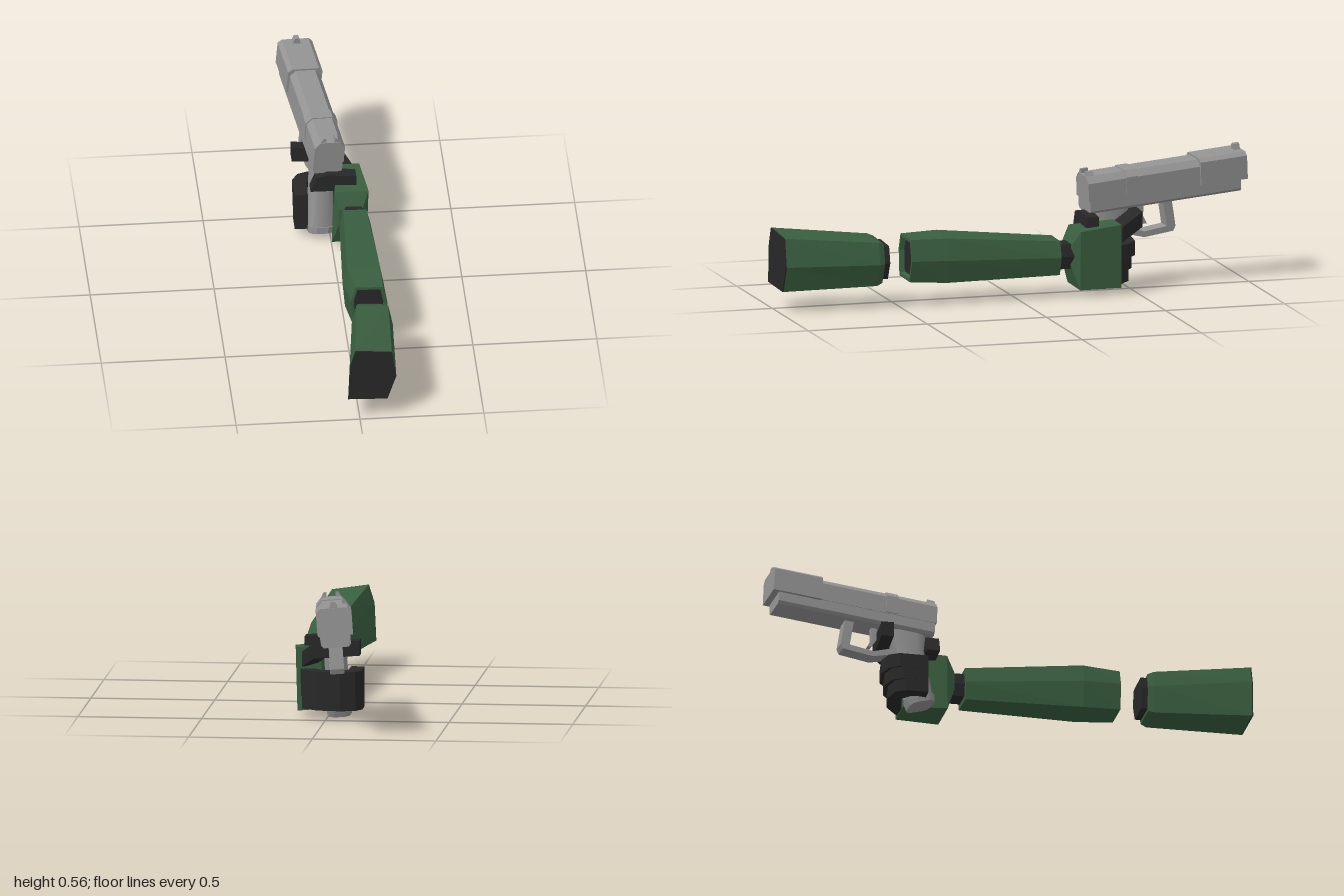
import * as THREE from 'three';
import { toCreasedNormals } from 'three/addons/utils/BufferGeometryUtils.js';

const material = (name, color) => {
  const m = new THREE.MeshStandardMaterial({ color });
  m.name = name;
  return m;
};

// Faceted solid through equal-length loops of [x, y, z]; outward winding is enforced
function loft(loops) {
  const tris = [];
  const n = loops[0].length;
  for (let i = 0; i < loops.length - 1; i++) {
    for (let j = 0; j < n; j++) {
      const k = (j + 1) % n;
      const [a, b, c, d] = [loops[i][j], loops[i][k], loops[i + 1][k], loops[i + 1][j]];
      tris.push([a, b, c], [a, c, d]);
    }
  }
  const first = loops[0], last = loops[loops.length - 1];
  for (let j = 1; j < n - 1; j++) {
    tris.push([first[0], first[j + 1], first[j]], [last[0], last[j], last[j + 1]]);
  }
  let volume = 0;
  const [a, b, c] = [0, 0, 0].map(() => new THREE.Vector3());
  for (const t of tris) volume += a.set(...t[0]).dot(b.set(...t[1]).cross(c.set(...t[2])));
  if (volume < 0) tris.forEach((t) => t.reverse());
  const g = new THREE.BufferGeometry();
  g.setAttribute('position', new THREE.Float32BufferAttribute(tris.flat(2), 3));
  g.computeVertexNormals();
  return g;
}

// Prism running forward (-z) from u0 to u1
const prism = (profile, u0, u1) =>
  loft([profile.map(([x, y]) => [x, y, -u0]), profile.map(([x, y]) => [x, y, -u1])]);

// Extruded outline
const slab = (points, depth) =>
  new THREE.ExtrudeGeometry(new THREE.Shape(points.map((p) => new THREE.Vector2(...p))), {
    depth, bevelEnabled: false,
  });

// Arm cross-section, ends slightly skewed
const ring = (z, pts) => pts.map(([x, y]) => [x, y, z - 0.08 * (x - 0.07)]);

// Scaled copy of a ring about its centre, moved along z
function inset(loop, s, dz) {
  const mid = [0, 1, 2].map((i) => loop.reduce((t, p) => t + p[i], 0) / loop.length);
  return loop.map((p) => p.map((v, i) => mid[i] + (v - mid[i]) * s + (i === 2 ? dz : 0)));
}

// Symmetric profile with chamfered top
const slideProfile = (w, y0, y1, cx, cy) => [
  [-w, y0], [w, y0], [w, y1 - cy], [w - cx, y1], [-w + cx, y1], [-w, y1 - cy],
];

export function createModel() {
  const model = new THREE.Group();
  model.name = 'armWithPistol';
  const green = material('green sleeve', 0x3a5f40);
  const dark = material('dark joint', 0x282828);
  const grey = material('grey metal', 0x949494);

  const add = (name, geometry, mat, parent = model) => {
    const mesh = new THREE.Mesh(geometry, mat);
    mesh.name = name;
    parent.add(mesh);
    return mesh;
  };

  // Upper arm with dark shoulder cap and elbow joint
  const shoulder = ring(0.99, [[-0.018, 0.338], [0.13, 0.318], [0.148, 0.202], [0.112, 0.097], [-0.048, 0.111], [-0.041, 0.264]]);
  const elbow = ring(0.605, [[0.02, 0.3], [0.15, 0.284], [0.168, 0.195], [0.132, 0.104], [0.008, 0.114], [0.002, 0.23]]);
  add('upperArm', loft([shoulder, elbow, inset(elbow, 0.9, -0.024)]), green);
  add('shoulderCap', loft([inset(shoulder, 1, 0.004), shoulder]), dark);
  add('elbowJoint', loft([inset(elbow, 0.76, -0.02), inset(elbow, 0.76, -0.05)]), dark);

  // Forearm with recessed dark socket
  const socket = ring(0.468, [[0.03, 0.294], [0.142, 0.286], [0.16, 0.2], [0.132, 0.112], [0.018, 0.12], [0.01, 0.23]]);
  const bulge = ring(0.31, [[0.008, 0.296], [0.142, 0.284], [0.158, 0.195], [0.13, 0.1], [0.0, 0.108], [-0.01, 0.22]]);
  const cuff = ring(-0.165, [[0.035, 0.252], [0.13, 0.244], [0.146, 0.178], [0.125, 0.105], [0.03, 0.112], [0.02, 0.185]]);
  add('forearm', loft([inset(socket, 0.8, -0.02), inset(socket, 0.86, 0), socket, bulge, cuff]), green);
  add('forearmSocket', loft([inset(socket, 0.8, -0.018), inset(socket, 0.8, -0.022)]), dark);
  add('wrist', loft([inset(cuff, 0.72, 0.01), inset(cuff, 0.72, -0.07)]), dark);

  // Hand
  add('palm', loft([
    ring(-0.212, [[0.022, 0.222], [0.118, 0.214], [0.118, 0.14], [0.022, 0.148]]),
    ring(-0.246, [[0.008, 0.287], [0.146, 0.28], [0.138, 0.04], [-0.003, 0.05]]),
    ring(-0.425, [[0.028, 0.302], [0.124, 0.296], [0.12, 0.038], [0.015, 0.047]]),
  ]), green);

  // Thumb across the back of the grip
  const thumb = [[-0.085, 0.264], [-0.06, 0.328], [-0.018, 0.339], [0.1, 0.328], [0.1, 0.262]];
  add('thumb', prism(thumb, 0.288, 0.342), dark);

  // Three fingers curled round the grip
  const curl = [
    [0.115, 0.41], [0.095, 0.465], [0.035, 0.512], [-0.06, 0.525], [-0.12, 0.505], [-0.143, 0.465],
    [-0.143, 0.348], [-0.09, 0.348], [-0.088, 0.44], [-0.06, 0.468], [0.02, 0.458], [0.06, 0.41],
  ];
  [0.048, 0.1, 0.152].forEach((y, i) => {
    const shift = (2 - i) * 0.014;
    const geometry = slab(curl.map(([x, u]) => [x, u > 0.42 ? u - shift : u]), i === 2 ? 0.058 : 0.0515);
    geometry.rotateX(-Math.PI / 2).translate(0, y, 0);
    add('finger' + (i + 1), geometry, dark);
  });

  // Index finger along the side, then across the trigger
  const joint = (x, z, y, w) => [[x, y - 0.031, z], [x, y + 0.031, z], [x + w, y + 0.031, z - 0.05], [x + w, y - 0.031, z - 0.05]];
  add('indexFinger', loft([
    joint(0.05, -0.39, 0.25, 0.05), joint(0.0, -0.49, 0.298, 0.045),
    joint(-0.05, -0.49, 0.305, 0), joint(-0.143, -0.49, 0.313, 0),
  ]), dark);

  // Pistol, built facing -z and then aimed
  const pistol = new THREE.Group();
  pistol.name = 'pistol';
  pistol.position.set(-0.014, 0.34, -0.31);
  pistol.rotation.set(0.07, 0.12, -0.07, 'YXZ');
  model.add(pistol);

  add('slide', prism(slideProfile(0.062, 0.046, 0.147, 0.022, 0.026), 0, 0.5), grey, pistol);
  add('slideBand', prism(slideProfile(0.066, 0.05, 0.151, 0.023, 0.026), 0.165, 0.215), grey, pistol);
  add('muzzleBlock', prism(slideProfile(0.071, 0.043, 0.154, 0.016, 0.014), 0.49, 0.694), grey, pistol);
  add('frame', prism([[-0.05, -0.007], [0.05, -0.007], [0.06, 0.004], [0.06, 0.048], [-0.06, 0.048], [-0.06, 0.004]], 0.006, 0.668), grey, pistol);
  add('frontSight', prism([[-0.018, 0.15], [0.018, 0.15], [0.009, 0.178], [-0.009, 0.178]], 0.662, 0.688), grey, pistol);
  for (const s of [-1, 1]) {
    add('rearSight', prism([[s * 0.042, 0.143], [s * 0.018, 0.143], [s * 0.018, 0.165], [s * 0.03, 0.165]], 0.004, 0.035), grey, pistol);
  }

  // Trigger guard and trigger
  const guard = [
    [0.375, 0], [0.388, -0.118], [0.378, -0.138], [0.25, -0.146], [0.14, -0.11], [0.14, -0.08],
    [0.25, -0.122], [0.35, -0.114], [0.337, 0],
  ];
  add('triggerGuard', slab(guard, 0.056).rotateY(Math.PI / 2).translate(-0.028, 0, 0), grey, pistol);
  const trigger = [[0.26, 0], [0.255, -0.06], [0.27, -0.095], [0.255, -0.095], [0.235, -0.06], [0.235, 0]];
  add('trigger', slab(trigger, 0.024).rotateY(Math.PI / 2).translate(-0.012, 0, 0), grey, pistol);

  // Raked, rounded grip with a base plate
  const gripRing = (back, front, vBack, vFront, w) => Array.from({ length: 12 }, (_, i) => {
    const a = (i + 0.5) / 12 * Math.PI * 2;
    const round = (v) => Math.sign(v) * Math.abs(v) ** 0.6;
    const t = (round(Math.cos(a)) + 1) / 2;
    return [w * round(Math.sin(a)), vBack + (vFront - vBack) * t, -(back + (front - back) * t)];
  });
  const grip = loft([
    gripRing(0.03, 0.2, 0.01, 0.01, 0.046), gripRing(0.035, 0.165, -0.07, -0.08, 0.046),
    gripRing(-0.012, 0.095, -0.27, -0.305, 0.05),
  ]);
  add('grip', toCreasedNormals(grip, 0.7), grey, pistol);
  add('gripBase', loft([
    gripRing(-0.018, 0.1, -0.265, -0.305, 0.054), gripRing(-0.02, 0.085, -0.295, -0.336, 0.05),
  ]), grey, pistol);

  return model;
}
